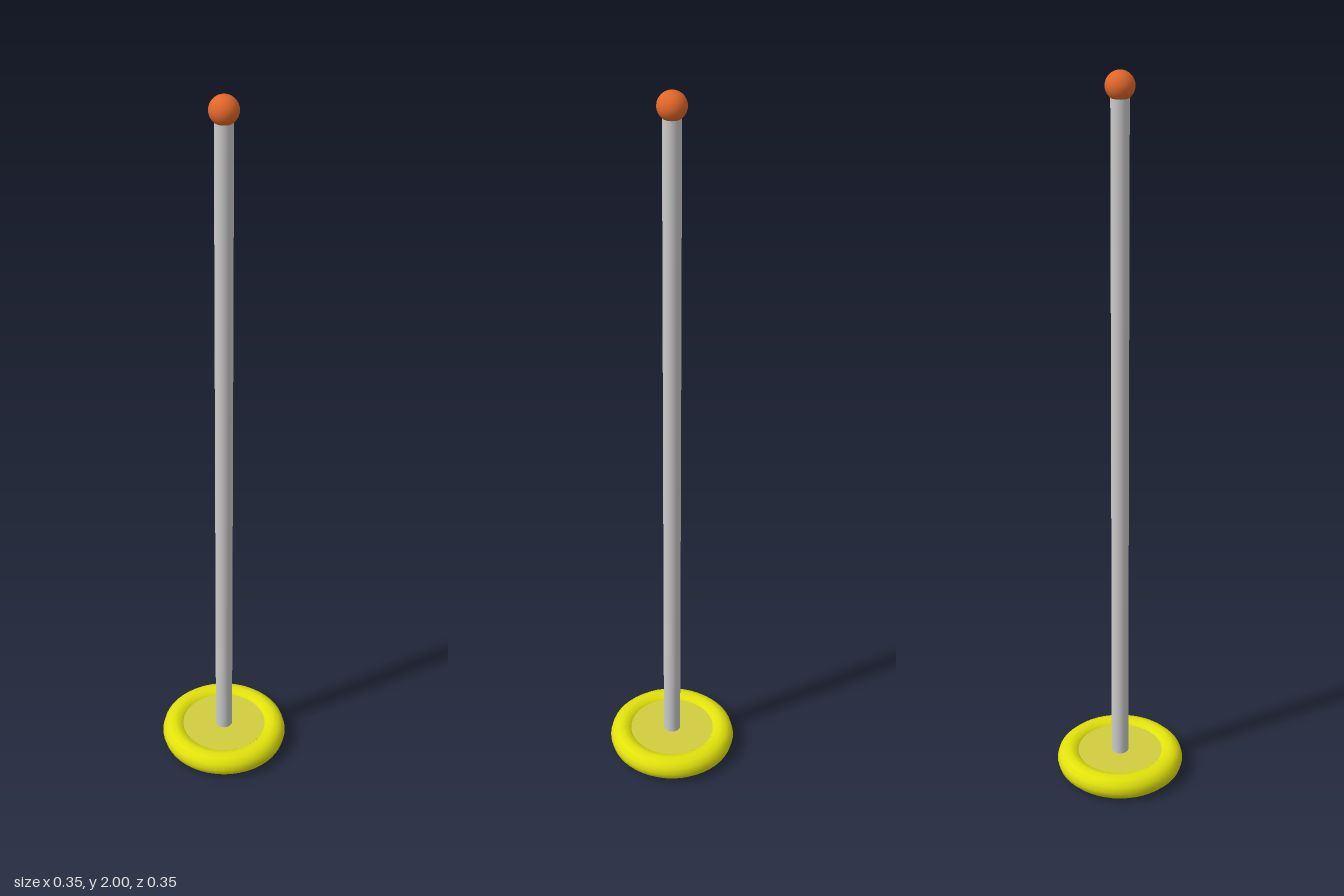
import * as THREE from 'three';

export function createModel() {
  const model = new THREE.Group();
  model.name = 'floorPole';

  const add = (name, geometry, color, y) => {
    const mesh = new THREE.Mesh(geometry, new THREE.MeshStandardMaterial({ color }));
    mesh.name = name;
    mesh.position.y = y;
    model.add(mesh);
  };

  const tube = 0.035;
  const ringRadius = 0.142;
  const knobRadius = 0.037;
  const knobY = 2 - knobRadius;
  const plateThickness = 0.048;

  // Rounded ring resting on the floor
  const ring = new THREE.TorusGeometry(ringRadius, tube, 12, 48).rotateX(Math.PI / 2);
  add('baseRing', ring, 0xe2e20c, tube);

  // Plate filling the ring, slightly recessed above and below
  add('basePlate', new THREE.CylinderGeometry(0.118, 0.118, plateThickness, 48), 0xd2ce40, tube);

  // Upright pole from the plate into the knob
  const poleBottom = tube;
  add('pole', new THREE.CylinderGeometry(0.0235, 0.0235, knobY - poleBottom, 24),
    0xcccccc, (knobY + poleBottom) / 2);

  // Ball on top
  add('topKnob', new THREE.SphereGeometry(knobRadius, 32, 20), 0xe0662a, knobY);

  return model;
}
